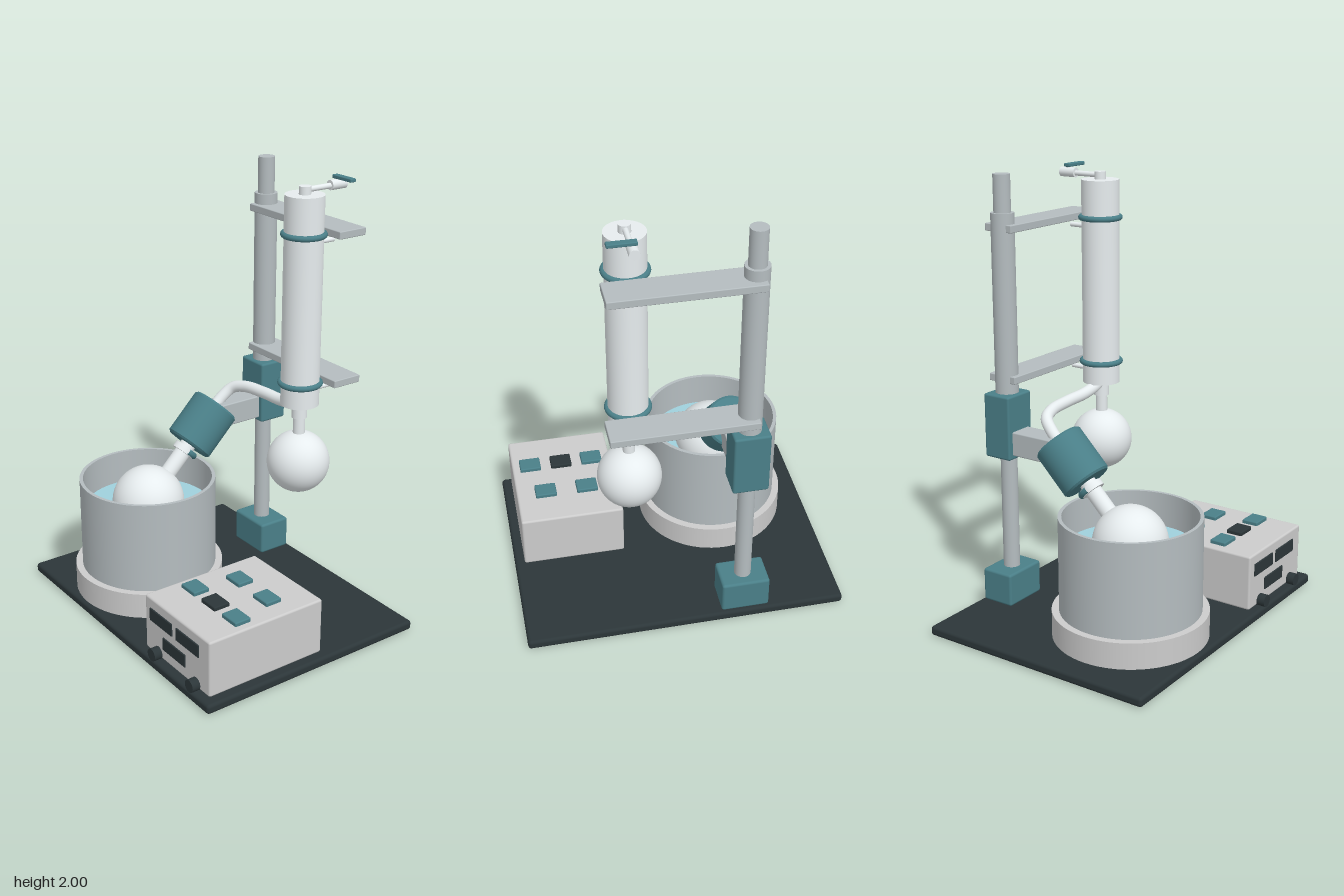
import * as THREE from 'three';
import { RoundedBoxGeometry } from 'three/addons/geometries/RoundedBoxGeometry.js';

const mat = (color) => new THREE.MeshStandardMaterial({ color });
const grey = mat(0xcccccc), steel = mat(0xb4bcbf), glass = mat(0xe6ecee);
const teal = mat(0x4a7f88), dark = mat(0x2c3639), water = mat(0x9fd0dc);

export function createModel() {
  const root = new THREE.Group();

  const add = (name, geometry, material, x = 0, y = 0, z = 0, parent = root) => {
    const mesh = new THREE.Mesh(geometry, material);
    mesh.name = name;
    mesh.position.set(x, y, z);
    parent.add(mesh);
    return mesh;
  };
  // Box given by its limits on each axis
  const box = (name, material, [x0, x1], [y0, y1], [z0, z1], r = 0.006) =>
    add(name, new RoundedBoxGeometry(x1 - x0, y1 - y0, z1 - z0, 2, r), material,
      (x0 + x1) / 2, (y0 + y1) / 2, (z0 + z1) / 2);
  // Upright cylinder from y0 to y1
  const post = (name, material, r, y0, y1, x, z, parent = root) =>
    add(name, new THREE.CylinderGeometry(r, r, y1 - y0, 48), material, x, (y0 + y1) / 2, z, parent);
  // Cylinder lying along z
  const rodZ = (name, material, r, z0, z1, x, y) => {
    const m = add(name, new THREE.CylinderGeometry(r, r, z1 - z0, 24), material, x, y, (z0 + z1) / 2);
    m.rotation.x = Math.PI / 2;
    return m;
  };
  const lathe = (pts) => new THREE.LatheGeometry(pts.map(([x, y]) => new THREE.Vector2(x, y)), 72);

  box('basePlate', dark, [-0.73, 0.73], [0, 0.045], [-0.565, 0.565], 0.015);

  // Support column with its foot, sleeve and sliding carriage
  const cx = -0.27, cz = -0.47;
  box('columnFoot', teal, [-0.38, -0.16], [0.045, 0.2], [-0.55, -0.39], 0.012);
  post('columnRod', steel, 0.038, 0.19, 2.0, cx, cz);
  post('columnSleeve', steel, 0.052, 1.02, 1.835, cx, cz);
  box('carriage', teal, [-0.35, -0.19], [0.74, 1.035], [-0.54, -0.4], 0.01);
  box('driveArm', steel, [-0.325, -0.212], [0.76, 0.87], [-0.41, -0.18]);

  // Heating bath: heater ring, hollow pot and water
  const bx = -0.27, bz = 0.2;
  add('bathHeater', new THREE.CylinderGeometry(0.346, 0.346, 0.12, 72), grey, bx, 0.105, bz);
  for (const [name, pts] of [
    ['potOuterWall', [[0.314, 0.16], [0.314, 0.595]]],
    ['potRim', [[0.314, 0.595], [0.298, 0.595]]],
    ['potInnerWall', [[0.298, 0.595], [0.298, 0.2]]],
  ]) add(name, lathe(pts), steel, bx, 0, bz).material = Object.assign(steel.clone(), { side: THREE.DoubleSide });
  post('bathWater', water, 0.297, 0.2, 0.44, bx, bz);

  // Rotating flask and drive, built upright and tilted back by 45 degrees
  const drive = new THREE.Group();
  drive.name = 'rotaryDrive';
  drive.position.set(bx, 0.468, 0.198);
  drive.rotation.x = -Math.PI / 4;
  root.add(drive);
  add('rotatingFlask', new THREE.SphereGeometry(0.167, 48, 32), glass, 0, 0, 0, drive);
  post('flaskNeck', glass, 0.038, 0.14, 0.34, 0, 0, drive);
  post('neckCollar', glass, 0.055, 0.275, 0.305, 0, 0, drive);
  const clip = add('neckClip', new THREE.TorusGeometry(0.057, 0.01, 10, 32, Math.PI * 1.2), teal, 0, 0.29, 0, drive);
  clip.rotation.set(-Math.PI / 2, 0, -0.1 * Math.PI + Math.PI);
  clip.rotation.z += Math.PI;
  clip.scale.z = 1.4;
  // Lathe profile with a small bevel on both rims
  add('driveHousing', lathe([[0, -0.114], [0.105, -0.114], [0.105, -0.114], [0.114, -0.105], [0.114, -0.105],
    [0.114, 0.105], [0.114, 0.105], [0.105, 0.114], [0.105, 0.114], [0, 0.114]]), teal, 0, 0.435, 0, drive);

  // Vapour tube from the drive to the foot of the condenser
  const path = new THREE.CatmullRomCurve3([
    [-0.27, 0.82, -0.15], [-0.268, 0.89, -0.22], [-0.245, 0.935, -0.268], [-0.18, 0.955, -0.292],
    [-0.05, 0.963, -0.304], [0.08, 0.968, -0.305], [0.16, 0.985, -0.302], [0.215, 1.01, -0.3],
  ].map((p) => new THREE.Vector3(...p)));
  add('vapourTube', new THREE.TubeGeometry(path, 60, 0.027, 20), glass);

  // Condenser with bands, brackets and receiving flask
  const kx = 0.213, kz = -0.3;
  post('condenser', glass, 0.086, 1.0, 1.94, kx, kz);
  for (const y of [1.1, 1.77]) {
    box('bracketBar', steel, [-0.3, 0.33], [y - 0.017, y + 0.017], [-0.545, -0.4], 0.004);
    const band = add('condenserBand', new THREE.TorusGeometry(0.088, 0.013, 12, 56), teal, kx, y, kz);
    band.rotation.x = Math.PI / 2;
    rodZ('hosePort', glass, 0.011, -0.465, -0.36, kx, y - 0.047);
  }
  post('receiverJoint', glass, 0.035, 0.935, 1.0, kx, kz);
  post('receiverNeck', glass, 0.027, 0.84, 0.94, kx, kz);
  add('receivingFlask', new THREE.SphereGeometry(0.142, 48, 32), glass, kx, 0.72, kz);

  // Valve on top of the condenser
  post('valveNeck', glass, 0.026, 1.94, 1.975, kx, kz);
  rodZ('valveStem', glass, 0.012, -0.45, kz, kx, 1.958);
  rodZ('valveBarrel', glass, 0.022, -0.515, -0.435, kx, 1.96);
  post('valvePin', glass, 0.01, 1.96, 1.99, kx, -0.475);
  box('valveLever', teal, [0.195, 0.315], [1.984, 2.0], [-0.49, -0.46], 0.004);

  // Control unit with buttons, displays and knobs
  box('controlUnit', grey, [0.205, 0.685], [0.045, 0.307], [-0.067, 0.525], 0.01);
  for (const [x, z, m] of [[0.35, 0.127, teal], [0.547, 0.127, teal],
    [0.299, 0.327, teal], [0.448, 0.327, dark], [0.598, 0.327, teal]])
    box('button', m, [x - 0.05, x + 0.05], [0.295, 0.325], [z - 0.04, z + 0.04]);
  for (const [x, y] of [[0.33, 0.23], [0.528, 0.23], [0.428, 0.13]])
    box('display', dark, [x - 0.084, x + 0.084], [y - 0.03, y + 0.03], [0.515, 0.531], 0.003);
  for (const x of [0.305, 0.59]) rodZ('knob', dark, 0.029, 0.52, 0.563, x, 0.065);

  return root;
}
